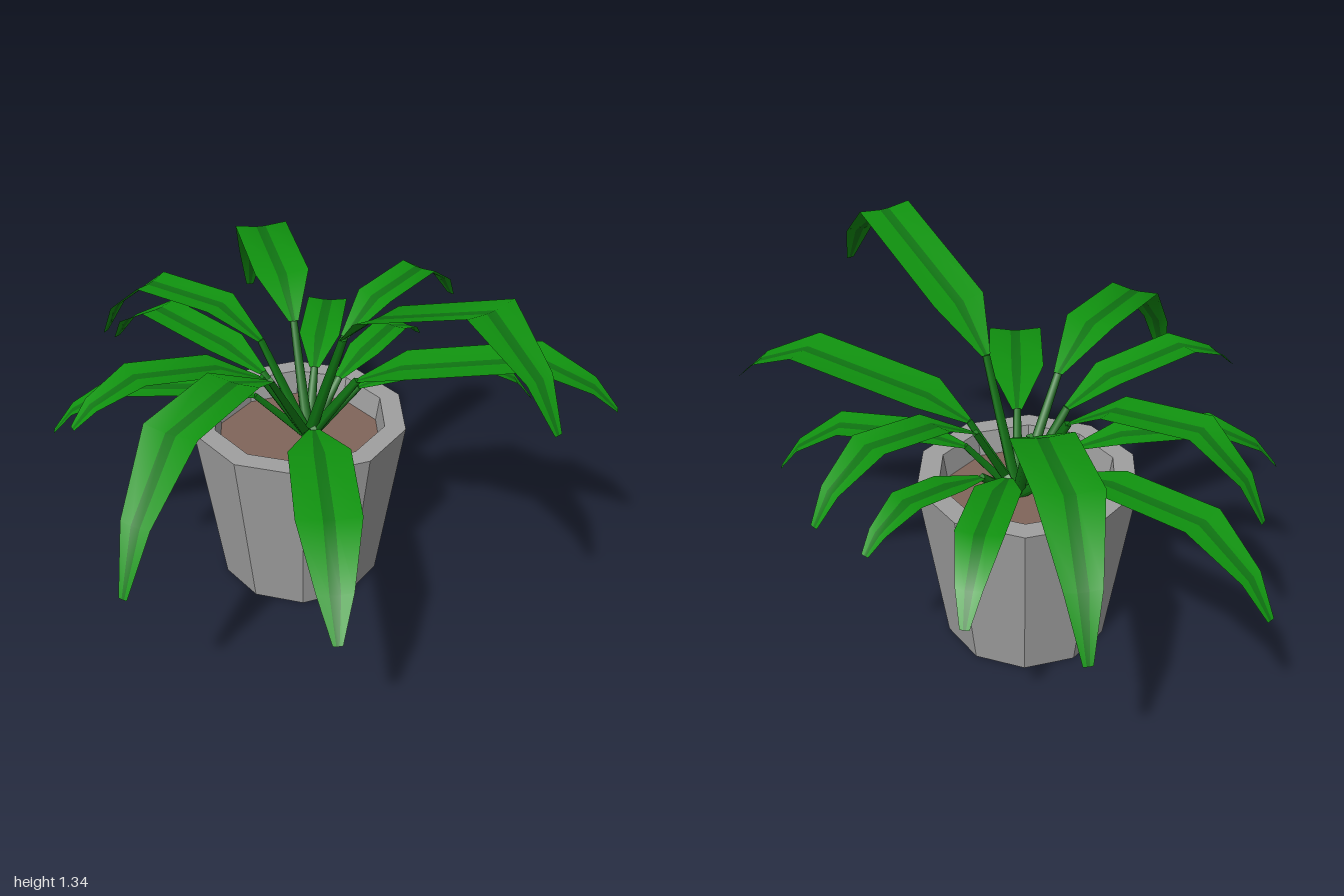
import * as THREE from 'three';

const material = (name, color, side = THREE.FrontSide) => {
  const m = new THREE.MeshStandardMaterial({ color, side });
  m.name = name;
  return m;
};

// Each leaf: tip x, tip y, tip z, peak height, shoulder height, shoulder fraction, half width
const LEAVES = [
  [0.99, 0.81, -0.09, 0.97, 0.87, 0.31, 0.11],
  [0.83, 1.05, 0.5, 1.335, 1.14, 0.31, 0.1],
  [0.32, 0.54, 0.945, 0.77, 0.78, 0.43, 0.1],
  [-0.31, 0.59, 0.975, 1, 1, 0.43, 0.095],
  [-0.18, 0.6, -0.89, 0.79, 0.77, 0.41, 0.075],
  [-0.57, 0.66, -0.98, 1.04, 1, 0.38, 0.1],
  [0.31, 0.8, -0.83, 0.99, 0.96, 0.43, 0.075],
  [0.2, 0.66, -0.74, 0.77, 0.74, 0.48, 0.065],
  [-0.99, 0.58, -0.53, 0.8, 0.77, 0.39, 0.085],
  [-0.91, 0.74, -0.28, 1, 0.98, 0.4, 0.085],
  [-0.88, 0.62, 0.25, 0.79, 0.77, 0.39, 0.08],
  [-0.65, 0.84, 0.53, 0.97, 0.92, 0.4, 0.085],
  [0.69, 0.65, -0.37, 0.82, 0.79, 0.41, 0.08],
];
const CENTRE = new THREE.Vector3(-0.06, 0.53, -0.09);

// Centre line running straight out from the pot in plan and arching over in height
function leafPath([x, y, z, peakY, shoulderY, shoulder]) {
  const at = (t, h) => new THREE.Vector3(
    THREE.MathUtils.lerp(CENTRE.x, x, t), h, THREE.MathUtils.lerp(CENTRE.z, z, t));
  return [
    at(shoulder * 0.54, THREE.MathUtils.lerp(CENTRE.y, shoulderY, 0.76)),
    at(shoulder, shoulderY),
    at(0.74, peakY),
    at(0.92, (peakY + y) / 2),
    at(1, y),
  ];
}

// Arching blade, four points across, slightly sunk along the midrib
function bladeGeometry(points, half) {
  const along = points[4].clone().sub(points[0]).setY(0).normalize();
  const across = new THREE.Vector3(-along.z, 0, along.x);
  const widths = [0.018, half, half, half * 0.55, 0.015];
  const pos = [], index = [];
  points.forEach((p, i) => {
    const rib = Math.min(0.018, widths[i] * 0.3);
    [-widths[i], -rib, rib, widths[i]].forEach((s, j) => {
      const v = p.clone().addScaledVector(across, s);
      if (j === 1 || j === 2) v.y -= widths[i] * 0.1;
      pos.push(v.x, v.y, v.z);
    });
  });
  // Both side strips first, then the midrib strip
  for (const j of [0, 2, 1]) {
    for (let i = 0; i < 4; i++) {
      const a = i * 4 + j;
      index.push(a, a + 1, a + 4, a + 1, a + 5, a + 4);
    }
  }
  const g = new THREE.BufferGeometry();
  g.setAttribute('position', new THREE.Float32BufferAttribute(pos, 3));
  g.setIndex(index);
  g.addGroup(0, 48, 0);
  g.addGroup(48, 24, 1);
  g.computeVertexNormals();
  return g;
}

// Four-sided tapered stem between two points
function stemGeometry(from, to) {
  const d = to.clone().sub(from);
  const g = new THREE.CylinderGeometry(0.014, 0.022, d.length(), 4, 1);
  g.applyQuaternion(new THREE.Quaternion().setFromUnitVectors(new THREE.Vector3(0, 1, 0), d.normalize()));
  const mid = from.clone().lerp(to, 0.5);
  return g.translate(mid.x, mid.y, mid.z);
}

export function createModel() {
  const model = new THREE.Group();
  model.name = 'pottedPlant';
  const grey = material('potGrey', 0xa0a0a0);
  const brown = material('soilBrown', 0x80655a);
  const green = material('leafGreen', 0x10930f, THREE.DoubleSide);
  const darkGreen = material('stemGreen', 0x0f7512);
  const ribGreen = material('midribGreen', 0x0f7512, THREE.DoubleSide);
  const add = (parent, name, geometry, mat) => {
    const mesh = new THREE.Mesh(geometry, mat);
    mesh.name = name;
    parent.add(mesh);
    return mesh;
  };

  // Ten-sided pot with a thick rim and an open top
  const profile = [[0, 0], [0.29, 0], [0.385, 0.625], [0.31, 0.625], [0.295, 0.53]]
    .map(([r, y]) => new THREE.Vector2(r, y));
  const potGeometry = new THREE.LatheGeometry(profile, 10, Math.PI / 2).toNonIndexed();
  potGeometry.computeVertexNormals();
  add(model, 'pot', potGeometry, grey).position.set(-0.09, 0, -0.08);

  // Soil disc inside the pot
  const soil = new THREE.CircleGeometry(0.3, 10).rotateX(-Math.PI / 2);
  add(model, 'soil', soil, brown).position.set(-0.09, 0.535, -0.08);

  // Leaves fanning out from the middle of the soil
  LEAVES.forEach((row, i) => {
    const points = leafPath(row);
    const leaf = new THREE.Group();
    leaf.name = 'leaf' + (i + 1);
    add(leaf, 'stem', stemGeometry(CENTRE, points[0]), darkGreen);
    add(leaf, 'blade', bladeGeometry(points, row[6]), [green, ribGreen]);
    model.add(leaf);
  });
  return model;
}
